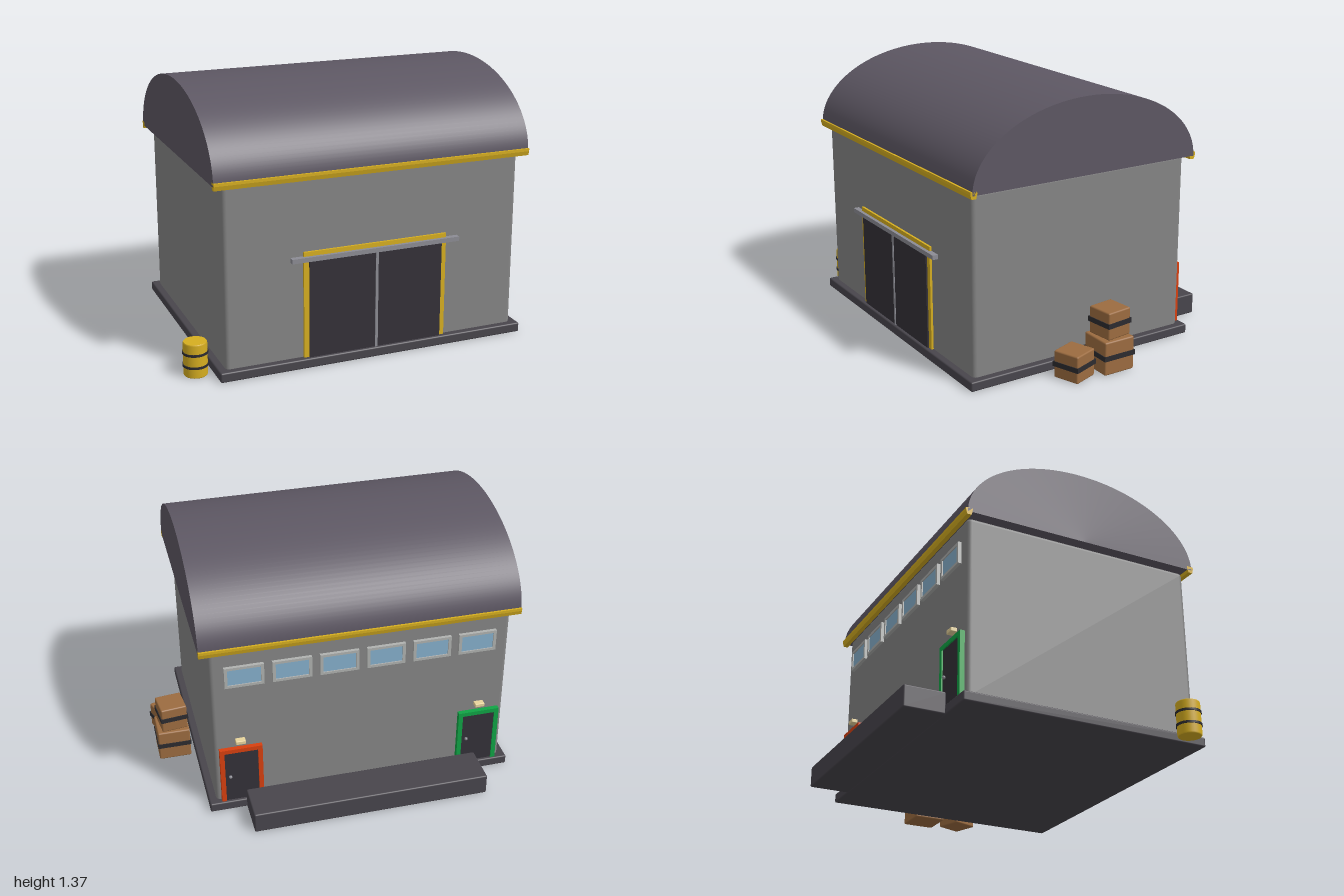
import * as THREE from 'three';
import { RoundedBoxGeometry } from 'three/addons/geometries/RoundedBoxGeometry.js';

const CX = -0.033; // building centre line in x
const CZ = 0.105; // building centre line in z
const BACK = -0.52; // back wall plane
const FRONT = 0.73; // front wall plane

const mat = (color) => new THREE.MeshStandardMaterial({ color });
const M = {
  wall: mat(0x858585), roof: mat(0x5d5763), base: mat(0x48454c), dark: mat(0x343138),
  yellow: mat(0xd6ae20), steel: mat(0x8c8c94), wood: mat(0x9c6c40), strap: mat(0x2c2b2f),
  red: mat(0xd84010), green: mat(0x10a445), glass: mat(0x86b0cc), trim: mat(0xb0b2b0), lamp: mat(0xe8d49c),
};

function add(parent, name, geometry, material, x = 0, y = 0, z = 0) {
  const mesh = new THREE.Mesh(geometry, material);
  mesh.name = name;
  mesh.position.set(x, y, z);
  parent.add(mesh);
  return mesh;
}

// Box given by its minimum and maximum corners, optionally rounded
function span(parent, name, material, [x0, y0, z0], [x1, y1, z1], r = 0) {
  const size = [x1 - x0, y1 - y0, z1 - z0];
  const geo = r ? new RoundedBoxGeometry(...size, 3, r) : new THREE.BoxGeometry(...size);
  return add(parent, name, geo, material, (x0 + x1) / 2, (y0 + y1) / 2, (z0 + z1) / 2);
}

function group(parent, name, x = 0, y = 0, z = 0) {
  const g = new THREE.Group();
  g.name = name;
  g.position.set(x, y, z);
  parent.add(g);
  return g;
}

function buildRoof(parent) {
  const roof = group(parent, 'roof', CX, 0.98, CZ);
  const length = 1.664;
  // Half-elliptical barrel vault with closed gables
  const vault = new THREE.CylinderGeometry(1, 1, length, 64, 1, false, 0, Math.PI);
  vault.rotateZ(Math.PI / 2).scale(1, 0.39, 0.65);
  add(roof, 'vault', vault, M.roof);
  const soffit = new THREE.PlaneGeometry(length, 1.3).rotateX(Math.PI / 2);
  add(roof, 'soffit', soffit, M.roof);

  // Gutters, wider at the lip than at the bottom
  const profile = new THREE.Shape([[-0.012, -0.018], [0.012, -0.018], [0.018, 0.004], [0.018, 0.018],
    [-0.018, 0.018], [-0.018, 0.004]].map((p) => new THREE.Vector2(...p)));
  for (const side of [-1, 1]) {
    const gutter = new THREE.ExtrudeGeometry(profile, { depth: length, bevelEnabled: false });
    gutter.translate(0, 0, -length / 2).rotateY(Math.PI / 2);
    add(roof, 'gutter', gutter, M.yellow, 0, 0.002, side * 0.642);
  }
}

function buildFrontGate(parent) {
  const gate = group(parent, 'slidingGate', CX, 0, FRONT);
  for (const s of [-1, 1]) {
    span(gate, 'gateJamb', M.yellow, [s * 0.37 - 0.014, 0.05, -0.01], [s * 0.37 + 0.014, 0.6, 0.012]);
    span(gate, 'gatePanel', M.dark, [s * 0.179 - 0.178, 0.05, -0.01], [s * 0.179 + 0.178, 0.56, 0.02]);
  }
  span(gate, 'gateLintel', M.yellow, [-0.384, 0.565, -0.01], [0.384, 0.6, 0.012]);
  span(gate, 'gateSeam', M.steel, [-0.007, 0.05, 0], [0.007, 0.56, 0.024]);
  span(gate, 'gateRail', M.steel, [-0.45, 0.555, 0], [0.45, 0.578, 0.03]);
}

function buildBackDoor(parent, x, frame) {
  const door = group(parent, 'backDoor', x, 0, BACK);
  for (const s of [-1, 1]) {
    span(door, 'doorJamb', frame, [s * 0.1 - 0.012, 0.05, -0.025], [s * 0.1 + 0.012, 0.38, 0.01]);
  }
  span(door, 'doorHead', frame, [-0.112, 0.357, -0.025], [0.112, 0.38, 0.01]);
  span(door, 'doorLeaf', M.dark, [-0.09, 0.05, -0.018], [0.09, 0.36, 0.01]);
  add(door, 'doorKnob', new THREE.SphereGeometry(0.009, 12, 8), M.steel, 0.062, 0.205, -0.024);
  span(door, 'doorLamp', M.lamp, [-0.026, 0.41, -0.032], [0.026, 0.432, 0.005], 0.004);
}

function buildWindow(parent, x) {
  const win = group(parent, 'window', x, 0.818, BACK);
  for (const s of [-1, 1]) {
    span(win, 'windowSide', M.trim, [s * 0.093 - 0.008, -0.059, -0.018], [s * 0.093 + 0.008, 0.059, 0.01]);
    span(win, 'windowRail', M.trim, [-0.1, s * 0.052 - 0.007, -0.018], [0.1, s * 0.052 + 0.007, 0.01]);
  }
  span(win, 'windowGlass', M.glass, [-0.087, -0.047, -0.012], [0.087, 0.047, 0.01]);
}

function buildCrate(parent, x, y, z, size, angle, strapY) {
  const crate = group(parent, 'crate', x, y, z);
  crate.rotation.y = angle;
  add(crate, 'crateBody', new RoundedBoxGeometry(size, size, size, 2, 0.008), M.wood, 0, size / 2, 0);
  add(crate, 'crateStrap', new THREE.BoxGeometry(size + 0.008, 0.026, size + 0.008), M.strap, 0, strapY, 0);
}

function buildBarrel(parent, x, z) {
  const barrel = group(parent, 'barrel', x, 0, z);
  const points = [[0, 0], [0.056, 0], [0.06, 0.006], [0.06, 0.169], [0.056, 0.175], [0, 0.175]];
  // Doubled rim points keep the edges sharp
  const profile = points.flatMap((p, i) => (i === 1 || i === 4 ? [p, p] : [p])).map((p) => new THREE.Vector2(...p));
  add(barrel, 'barrelBody', new THREE.LatheGeometry(profile, 32), M.yellow);
  for (const y of [0.055, 0.12]) {
    add(barrel, 'barrelHoop', new THREE.CylinderGeometry(0.064, 0.064, 0.012, 32), M.strap, 0, y, 0);
  }
}

export function createModel() {
  const model = new THREE.Group();
  model.name = 'warehouse';

  // Ground works and walls
  span(model, 'foundation', M.base, [-0.855, 0, -0.555], [0.789, 0.05, 0.765], 0.008);
  span(model, 'loadingDock', M.base, [-0.663, 0, -0.765], [0.596, 0.113, -0.55], 0.008);
  span(model, 'walls', M.wall, [-0.818, 0.03, BACK], [0.751, 0.98, FRONT], 0.022);

  buildRoof(model);
  buildFrontGate(model);

  // Back wall openings
  buildBackDoor(model, CX + 0.645, M.red);
  buildBackDoor(model, CX - 0.645, M.green);
  for (let i = 0; i < 6; i++) buildWindow(model, CX + (i - 2.5) * 0.244);

  // Goods beside the building
  buildCrate(model, 0.9, 0, 0.037, 0.175, 0, 0.09);
  buildCrate(model, 0.897, 0.177, 0.035, 0.143, 0.12, 0.075);
  buildCrate(model, 0.9, 0, 0.248, 0.143, 0.34, 0.073);
  buildBarrel(model, -0.936, 0.612);

  return model;
}
